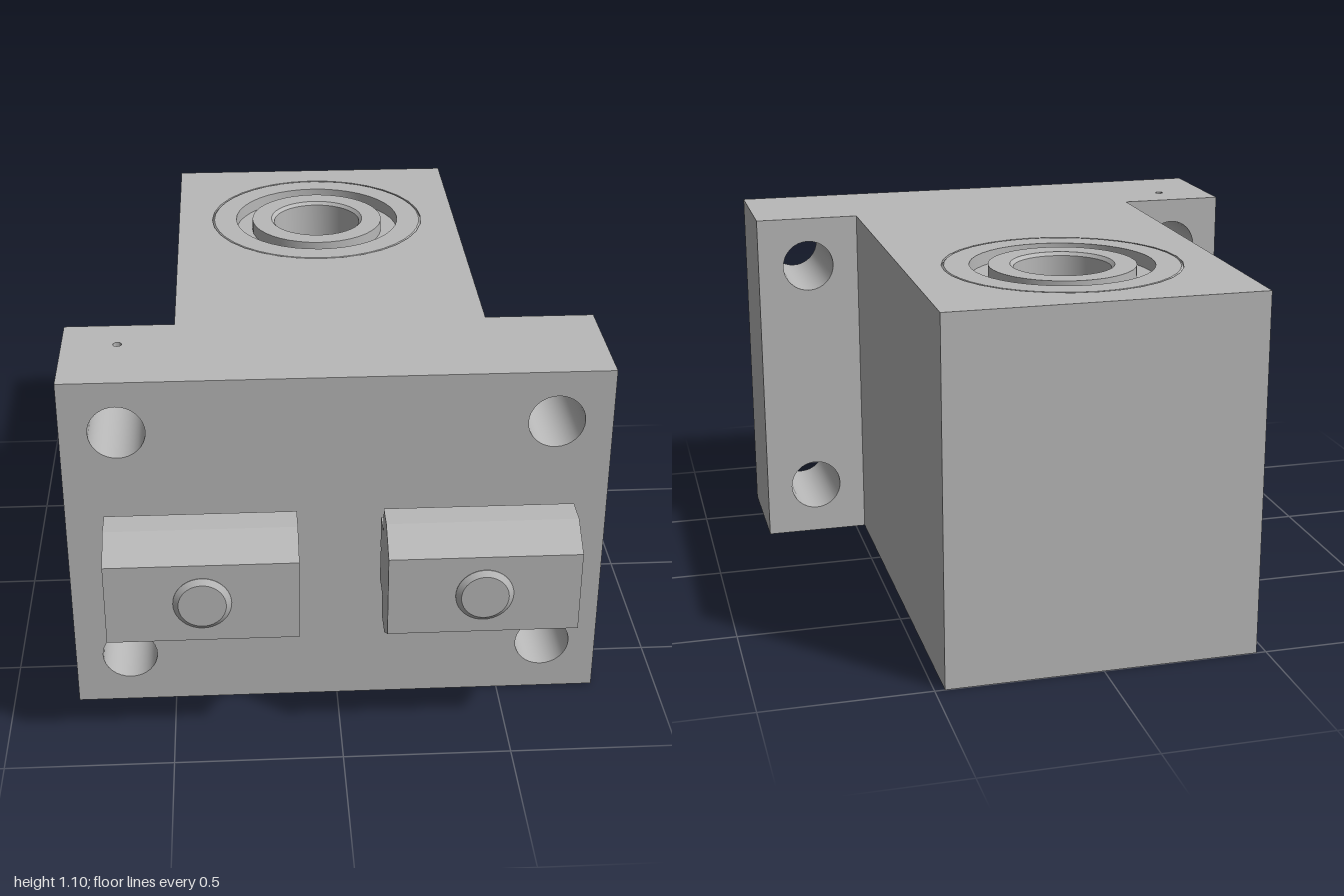
import * as THREE from 'three';
import { toCreasedNormals } from 'three/addons/utils/BufferGeometryUtils.js';

const HEIGHT = 1.1;
const BORE_Z = -0.535;

const steel = new THREE.MeshStandardMaterial({ color: 0xb8b8b8 });
steel.name = 'steel grey';

function part(name, geometry) {
  const mesh = new THREE.Mesh(toCreasedNormals(geometry, 0.5), steel);
  mesh.name = name;
  return mesh;
}

function polygon(points) {
  return new THREE.Shape(points.map(([a, b]) => new THREE.Vector2(a, b)));
}

function rectangle(x0, y0, x1, y1) {
  return polygon([[x0, y0], [x1, y0], [x1, y1], [x0, y1]]);
}

function addHole(shape, x, y, r) {
  shape.holes.push(new THREE.Path().absarc(x, y, r, 0, Math.PI * 2, true));
}

function extrude(shape, depth) {
  return new THREE.ExtrudeGeometry(shape, { depth, bevelEnabled: false, curveSegments: 16 });
}

// Extrudes an (x, z) outline downwards from the given top height
function extrudeDown(shape, top, depth) {
  return extrude(shape, depth).rotateX(Math.PI / 2).translate(0, top, 0);
}

function lathe(points) {
  return new THREE.LatheGeometry(points.map(([r, y]) => new THREE.Vector2(r, y)), 40);
}

export function createModel() {
  const model = new THREE.Group();
  model.name = 'bearingBlock';

  // Housing block with a vertical bore
  const housing = rectangle(-0.47, -1, 0.47, 0.3);
  addHole(housing, 0, BORE_Z, 0.357);
  model.add(part('housing', extrudeDown(housing, HEIGHT, HEIGHT)));

  // Bearing: chamfered outer ring, recessed groove and inner ring on both ends
  const top = HEIGHT, dip = 0.04, c = 0.007;
  const bearing = part('bearing', lathe([
    [0.145, 0.01], [0.155, 0], [0.22, 0], [0.22, dip], [0.275, dip], [0.275, 0],
    [0.357 - c, 0], [0.357, c], [0.357, top - c], [0.357 - c, top],
    [0.275, top], [0.275, top - dip], [0.22, top - dip], [0.22, top],
    [0.155, top], [0.145, top - 0.01], [0.145, 0.01],
  ]));
  bearing.position.z = BORE_Z;
  model.add(bearing);

  // Mounting plate with four bolt holes
  const seam = 1.04;
  const plate = rectangle(-0.8, 0, 0.8, seam);
  for (const x of [-0.635, 0.635]) {
    for (const y of [0.167, 0.94]) addHole(plate, x, y, 0.083);
  }
  model.add(part('mountingPlate', extrude(plate, 0.38).translate(0, 0, 0.3)));

  // Upper strip of the plate with the small pin hole
  const strip = rectangle(-0.8, 0.3, 0.8, 0.68);
  addHole(strip, -0.635, 0.43, 0.013);
  model.add(part('plateTop', extrudeDown(strip, HEIGHT, HEIGHT - seam)));

  // Slot nuts, each held by a chamfered screw
  const nutProfile = polygon([
    [0.725, -0.108], [0.805, -0.108], [0.805, -0.185], [0.89, -0.185],
    [0.985, -0.125], [0.985, 0.125], [0.89, 0.185], [0.805, 0.185],
    [0.805, 0.108], [0.725, 0.108], [0.725, 0.012], [0.737, 0], [0.725, -0.012],
  ]);
  for (const side of [-1, 1]) {
    const fastener = new THREE.Group();
    fastener.name = side > 0 ? 'leftFastener' : 'rightFastener';
    fastener.position.set(side * 0.4, 0.553, 0);
    const nut = extrude(nutProfile, 0.55).rotateY(-Math.PI / 2).translate(0.275, 0, 0);
    fastener.add(part('slotNut', nut));
    const screw = lathe([[0, 0.67], [0.083, 0.67], [0.083, 0.987], [0.068, 1], [0, 1]]);
    fastener.add(part('screw', screw.rotateX(Math.PI / 2)));
    model.add(fastener);
  }

  return model;
}
